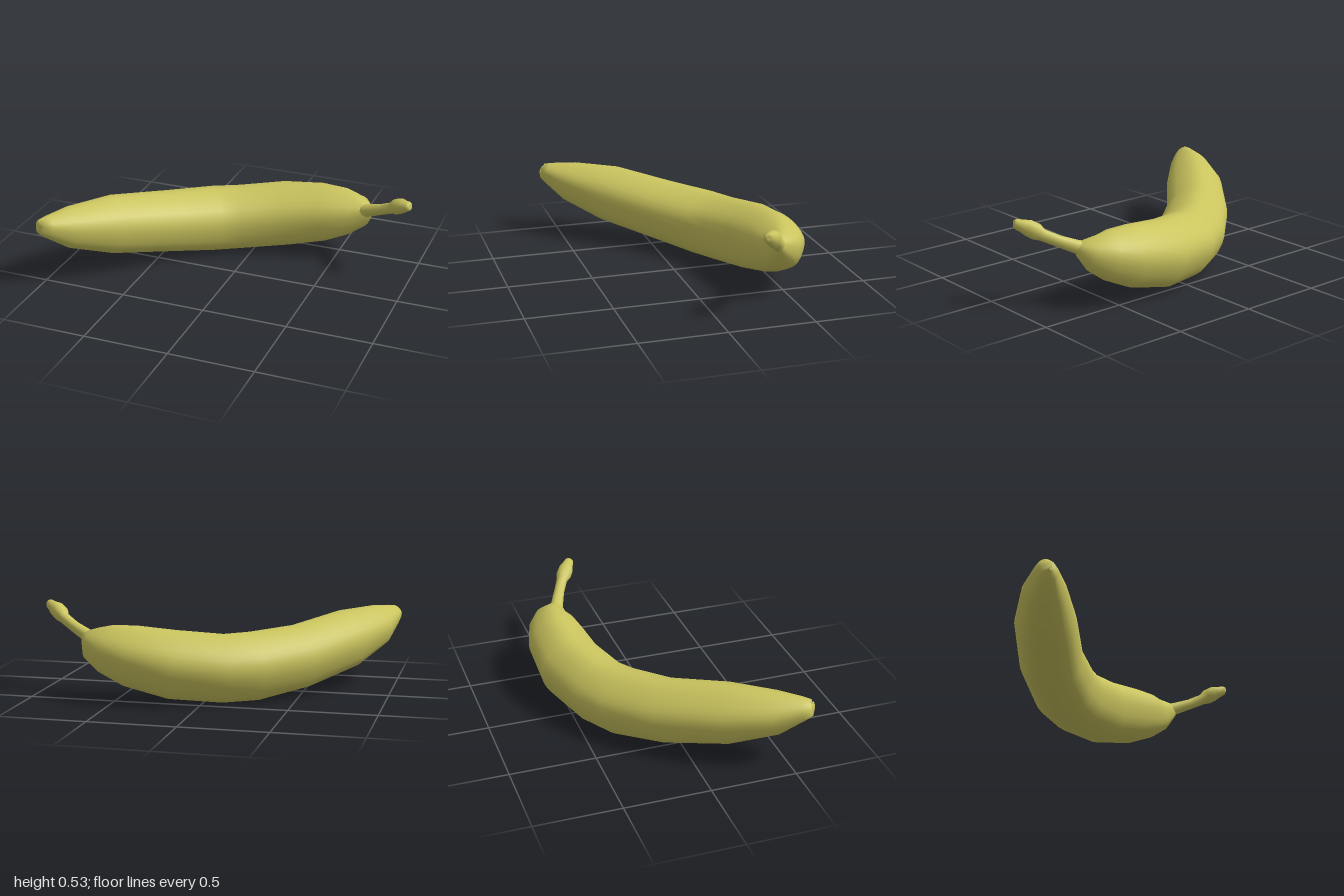
import * as THREE from 'three';

// General "upward" normal of the tilted plane in which the fruit curves
const PLANE_UP = new THREE.Vector3(-0.2, 0.9, -0.38).normalize();

// Skins rings [x, y, z, radius]; lobes and ridge shape the cross-section
function loft(rings, sides, lobes, ridge) {
  const centres = rings.map(r => new THREE.Vector3(r[0], r[1], r[2]));
  const positions = [], index = [];
  rings.forEach((ring, i) => {
    const before = centres[Math.max(i - 1, 0)];
    const after = centres[Math.min(i + 1, rings.length - 1)];
    const tangent = after.clone().sub(before).normalize();
    const inner = tangent.clone().cross(PLANE_UP).normalize();
    const up = inner.clone().cross(tangent);
    for (let j = 0; j < sides; j++) {
      const a = (j / sides) * Math.PI * 2;
      const r = ring[3] * (1 + ridge * Math.cos(lobes * a));
      const p = centres[i].clone()
        .addScaledVector(inner, r * Math.cos(a))
        .addScaledVector(up, r * Math.sin(a));
      positions.push(p.x, p.y, p.z);
      if (i < rings.length - 1) {
        const k = (j + 1) % sides, n = i * sides;
        index.push(n + j, n + sides + j, n + k);
        index.push(n + k, n + sides + j, n + sides + k);
      }
    }
  });
  const geometry = new THREE.BufferGeometry();
  geometry.setAttribute('position', new THREE.Float32BufferAttribute(positions, 3));
  geometry.setIndex(index);
  geometry.computeVertexNormals();
  return geometry;
}

export function createModel() {
  const group = new THREE.Group();
  group.name = 'banana';
  const skin = new THREE.MeshStandardMaterial({ color: 0xcac45e });
  const add = (name, geometry) => {
    const mesh = new THREE.Mesh(geometry, skin);
    mesh.name = name;
    group.add(mesh);
  };

  // Curved fruit, from the blossom end to the neck
  add('fruitBody', loft([
    [-0.955, 0.40, 0.57, 0],
    [-0.968, 0.405, 0.592, 0.03],
    [-0.967, 0.404, 0.585, 0.046],
    [-0.945, 0.393, 0.55, 0.066],
    [-0.87, 0.35, 0.43, 0.122],
    [-0.71, 0.297, 0.21, 0.172],
    [-0.475, 0.232, -0.07, 0.184],
    [-0.25, 0.203, -0.265, 0.195],
    [-0.095, 0.2, -0.355, 0.193],
    [0.17, 0.228, -0.45, 0.194],
    [0.41, 0.27, -0.467, 0.174],
    [0.55, 0.302, -0.457, 0.141],
    [0.635, 0.325, -0.435, 0.1],
    [0.69, 0.355, -0.395, 0.046],
    [0.71, 0.365, -0.385, 0],
  ], 30, 5, 0.025));

  // Thin stalk swelling into the cut knob
  add('stem', loft([
    [0.66, 0.345, -0.405, 0.048],
    [0.70, 0.365, -0.385, 0.038],
    [0.79, 0.405, -0.345, 0.032],
    [0.865, 0.445, -0.305, 0.033],
    [0.89, 0.465, -0.285, 0.046],
    [0.925, 0.488, -0.26, 0.045],
    [0.955, 0.5, -0.24, 0.034],
    [0.982, 0.513, -0.222, 0.027],
    [0.99, 0.516, -0.217, 0.016],
    [0.986, 0.514, -0.22, 0],
  ], 12, 3, 0.06));

  return group;
}
